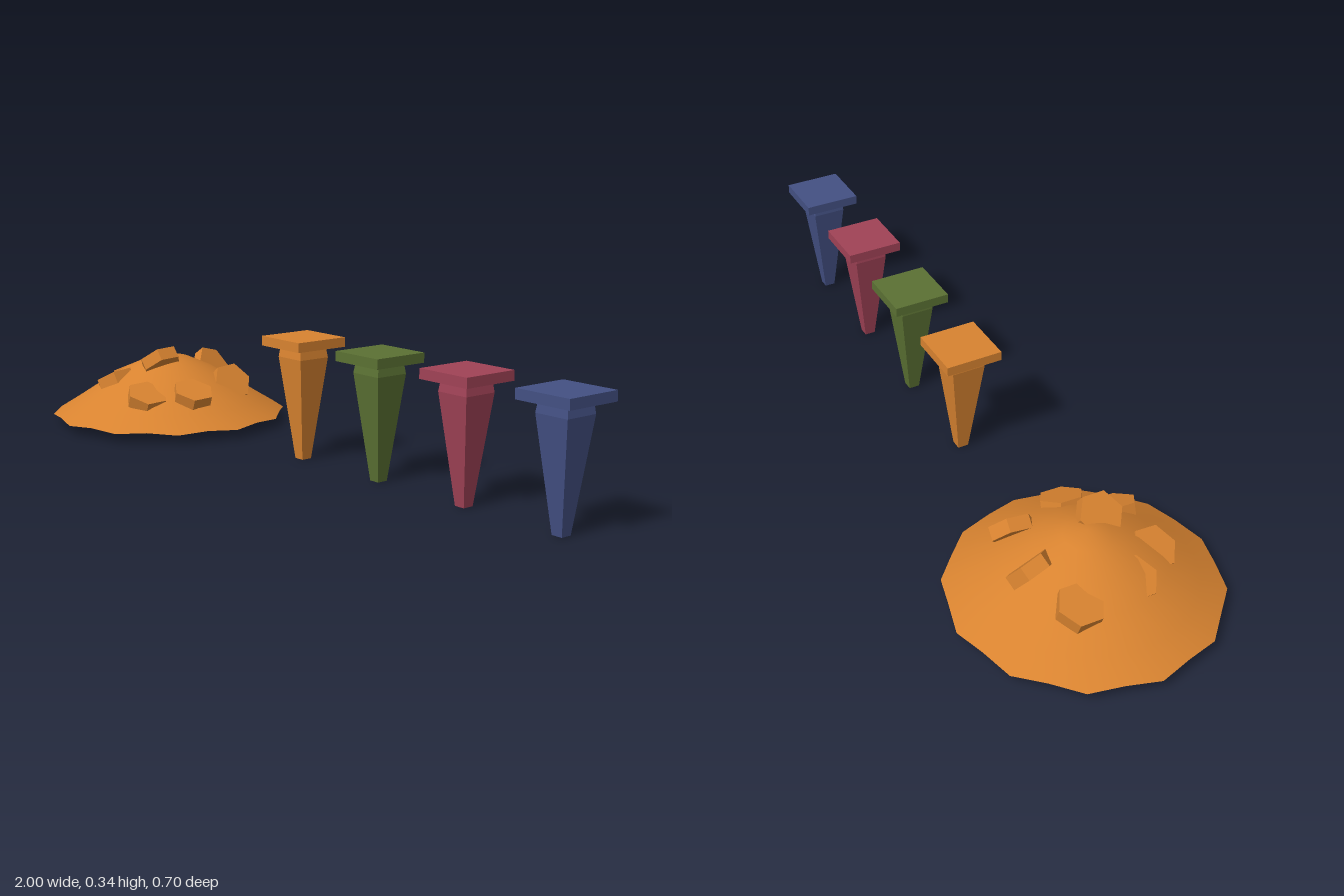
import * as THREE from 'three';
import { mergeVertices } from 'three/addons/utils/BufferGeometryUtils.js';

const paint = (name, color, side = THREE.FrontSide) => {
  const m = new THREE.MeshStandardMaterial({ color, side });
  m.name = name;
  return m;
};

// Faceted copy of a geometry
function faceted(geometry) {
  const g = geometry.toNonIndexed();
  g.computeVertexNormals();
  return g;
}

// Square frustum given half-widths and heights
function frustum(bottom, top, y0, y1) {
  const g = new THREE.CylinderGeometry(top * Math.SQRT2, bottom * Math.SQRT2, y1 - y0, 4);
  g.rotateY(Math.PI / 4);
  g.translate(0, (y0 + y1) / 2, 0);
  return faceted(g);
}

// Smooth open mound with twelve rim corners
function moundGeometry() {
  const profile = [[0.35, 0.025], [0.28, 0.066], [0.2, 0.118], [0.13, 0.16], [0.06, 0.191], [0, 0.205]]
    .map(([r, y]) => new THREE.Vector2(r, y));
  const g = new THREE.LatheGeometry(profile, 24);
  const p = g.attributes.position;
  // pull in and lift the rim between its corners
  for (let i = 1; i < 24; i += 2) {
    const k = i * profile.length;
    p.setXYZ(k, p.getX(k) * 0.966, 0.03, p.getZ(k) * 0.966);
  }
  g.deleteAttribute('uv');
  g.deleteAttribute('normal');
  const merged = mergeVertices(g, 1e-5);
  merged.computeVertexNormals();
  return merged;
}

export function createModel() {
  const model = new THREE.Group();
  const orange = paint('orange', 0xd88330, THREE.DoubleSide);
  const add = (parent, name, geometry, material) => {
    const mesh = new THREE.Mesh(geometry, material);
    mesh.name = name;
    parent.add(mesh);
    return mesh;
  };

  // Mound with embedded hexagonal chunks
  const pile = new THREE.Group();
  pile.name = 'pile';
  pile.position.x = -0.65;
  model.add(pile);
  add(pile, 'mound', moundGeometry(), orange);

  const chunk = faceted(new THREE.CylinderGeometry(0.06, 0.06, 0.036, 6));
  const up = new THREE.Vector3(0, 1, 0);
  // centre, then facing direction
  const chunks = [
    [[-0.145, 0.125, -0.105], [-0.3, 0.95, 0.05]],
    [[0.0, 0.145, -0.155], [0.75, 0.6, -0.25]],
    [[0.165, 0.12, -0.11], [0.8, 0.55, 0.1]],
    [[-0.13, 0.128, 0.05], [-0.42, 0.9, 0.05]],
    [[0.045, 0.19, 0.06], [-0.58, 0.8, 0.05]],
    [[0.205, 0.112, 0.055], [0.38, 0.92, 0.05]],
    [[-0.06, 0.125, 0.15], [-0.45, 0.85, 0.1]],
    [[0.13, 0.105, 0.165], [0.4, 0.9, 0.05]],
  ];
  for (const [centre, facing] of chunks) {
    const mesh = add(pile, 'chunk', chunk, orange);
    mesh.position.set(...centre);
    mesh.quaternion.setFromUnitVectors(up, new THREE.Vector3(...facing).normalize());
  }

  // Row of four tapered stakes with square caps
  const spike = frustum(0.015, 0.047, 0, 0.28);
  const neck = frustum(0.047, 0.043, 0.28, 0.309);
  const cap = frustum(0.079, 0.079, 0.309, 0.335);
  const colours = [
    orange,
    paint('olive green', 0x5b7133),
    paint('crimson', 0xa04256),
    paint('navy blue', 0x435083),
  ];
  colours.forEach((material, i) => {
    const stake = new THREE.Group();
    stake.name = 'stake';
    stake.position.x = i * 0.307;
    add(stake, 'spike', spike, material);
    add(stake, 'neck', neck, material);
    add(stake, 'cap', cap, material);
    model.add(stake);
  });
  return model;
}
